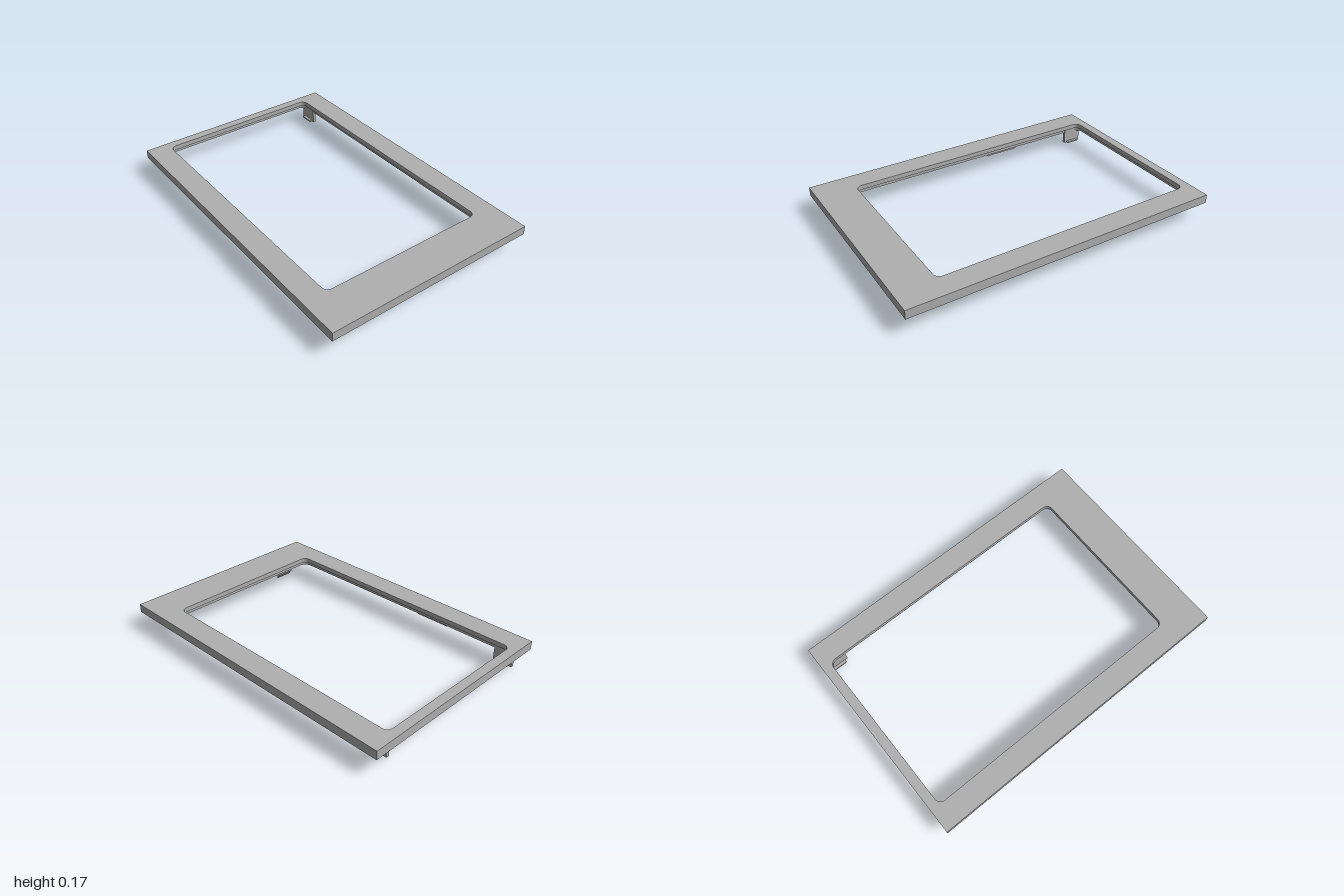
import * as THREE from 'three';

export function createModel() {
  const model = new THREE.Group();
  const grey = new THREE.MeshStandardMaterial({ color: 0xb0b0b0 });
  grey.name = 'grey plastic';

  function add(name, geometry) {
    const mesh = new THREE.Mesh(geometry, grey);
    mesh.name = name;
    model.add(mesh);
  }

  // Box given by its limits on each axis
  function addBox(name, x0, x1, y0, y1, z0, z1) {
    const g = new THREE.BoxGeometry(x1 - x0, y1 - y0, z1 - z0);
    g.translate((x0 + x1) / 2, (y0 + y1) / 2, (z0 + z1) / 2);
    add(name, g);
  }

  // Flat ring with a rounded window; grow widens the window
  function addFrameLayer(name, y0, y1, grow) {
    const shape = new THREE.Shape([[-0.68, -1], [0.68, -1], [0.68, 1], [-0.68, 1]]
      .map(([x, y]) => new THREE.Vector2(x, y)));
    const x = 0.535 + grow, front = -0.755 - grow, back = 0.942 + grow, r = 0.04 + grow;
    const hole = new THREE.Path();
    hole.absarc(x - r, back - r, r, 0, Math.PI / 2);
    hole.absarc(-x + r, back - r, r, Math.PI / 2, Math.PI);
    hole.absarc(-x + r, front + r, r, Math.PI, Math.PI * 1.5);
    hole.absarc(x - r, front + r, r, Math.PI * 1.5, Math.PI * 2);
    hole.closePath();
    shape.holes.push(hole);
    const g = new THREE.ExtrudeGeometry(shape, { depth: y1 - y0, bevelEnabled: false, curveSegments: 8 });
    g.rotateX(-Math.PI / 2);
    g.translate(0, y0, 0);
    add(name, g);
  }

  // Frame with a stepped recess around the underside of the window
  addFrameLayer('frameTop', 0.135, 0.165, 0);
  addFrameLayer('frameUnderside', 0.11, 0.135, 0.015);

  // Front clips: upright plate with a wedge hook pointing back
  for (const [name, cx] of [['frontClipRight', -0.448], ['frontClipLeft', 0.483]]) {
    addBox(name + 'Plate', cx - 0.078, cx + 0.078, 0.032, 0.11, 0.9, 0.92);
    const wedge = new THREE.Shape([[-0.9, 0], [-0.87, 0.037], [-0.9, 0.037]]
      .map(([x, y]) => new THREE.Vector2(x, y)));
    const g = new THREE.ExtrudeGeometry(wedge, { depth: 0.115, bevelEnabled: false });
    g.rotateY(Math.PI / 2);
    g.translate(cx - 0.0575, 0, 0);
    add(name + 'Hook', g);
  }

  // Back clips with inward feet, and the side locating tabs
  for (const [side, s] of [['Left', 1], ['Right', -1]]) {
    const mirrored = (name, a, b, ...rest) =>
      addBox(name + side, Math.min(s * a, s * b), Math.max(s * a, s * b), ...rest);
    mirrored('backClipPlate', 0.545, 0.565, 0.032, 0.135, -0.965, -0.84);
    mirrored('backClipFoot', 0.527, 0.545, 0.032, 0.042, -0.945, -0.858);
    mirrored('sideTab', 0.602, 0.635, 0.07, 0.11, -0.455, -0.225);
  }
  return model;
}
